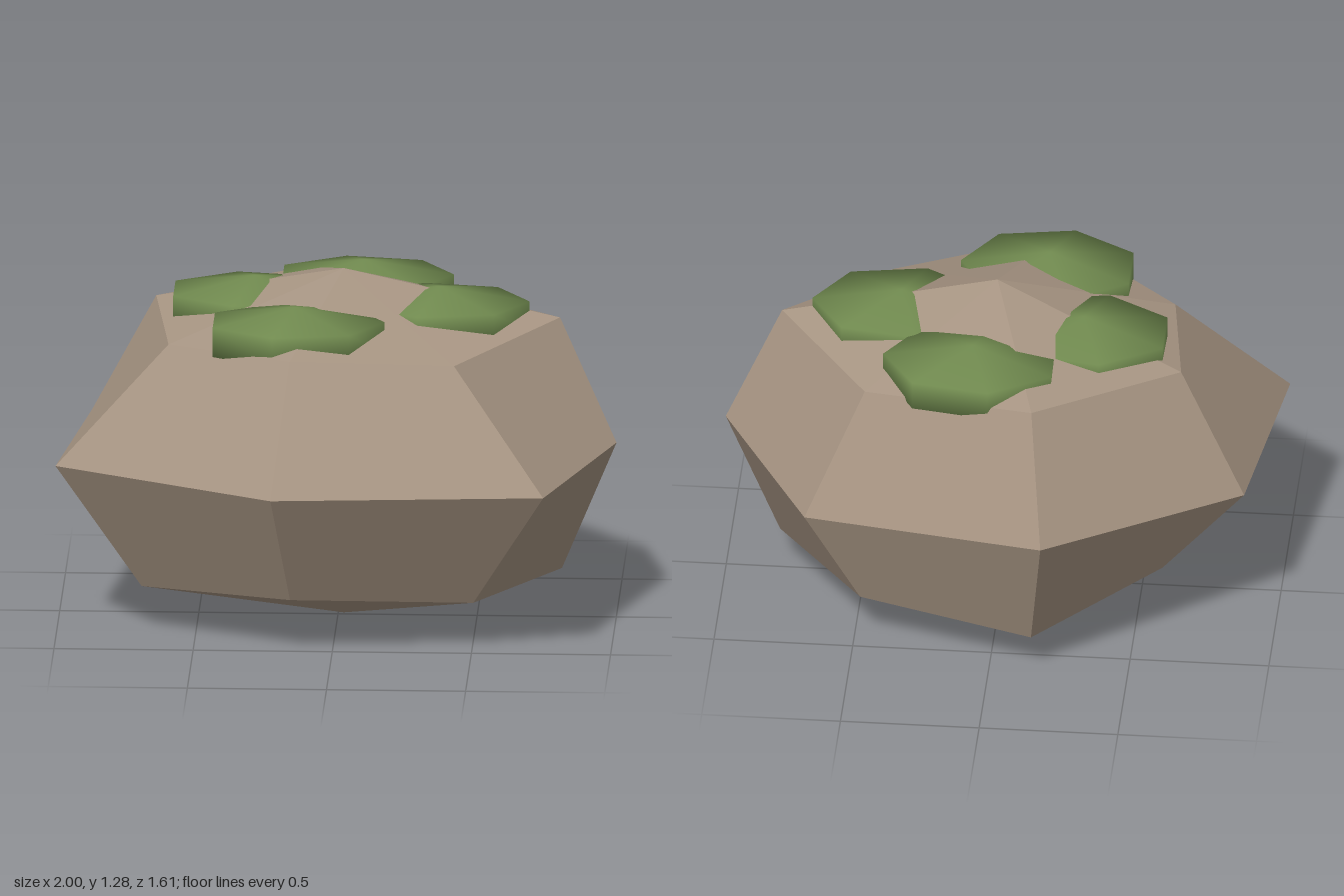
import * as THREE from 'three';

const SIDES = 7;

// Faceted boulder: three uneven seven-sided rings closed by a top and a bottom point
function boulderGeometry() {
  const top = [0.02, 1.285, -0.02], bottom = [0.02, 0, -0.02];
  const upper = [[0.797, 1.11, -0.02], [0.46, 1.065, -0.462], [-0.155, 1.115, -0.627], [-0.665, 1.1, -0.287],
    [-0.6, 1.06, 0.218], [-0.15, 1.1, 0.573], [0.433, 1.04, 0.393]];
  const middle = [[1, -0.02], [0.66, -0.662], [-0.203, -0.806], [-0.9, -0.377],
    [-1, 0.371], [-0.21, 0.804], [0.767, 0.724]].map(([x, z]) => [x, 0.645, z]);
  const lower = [[0.804, 0.175, -0.02], [0.475, 0.2, -0.482], [-0.155, 0.165, -0.642], [-0.595, 0.24, -0.257],
    [-0.695, 0.17, 0.263], [-0.15, 0.205, 0.55], [0.505, 0.178, 0.463]];

  const points = [], normals = [];
  // One flat-shaded facet with three or four corners
  const facet = (...corners) => {
    const [a, b, c, d = a] = corners.map((p) => new THREE.Vector3(...p));
    const n = c.clone().sub(a).cross(d.clone().sub(b)).normalize();
    const triangles = corners.length === 4 ? [a, b, c, a, c, d] : [a, b, c];
    for (const p of triangles) {
      points.push(p.x, p.y, p.z);
      normals.push(n.x, n.y, n.z);
    }
  };
  for (let i = 0; i < SIDES; i++) {
    const j = (i + 1) % SIDES;
    facet(top, upper[i], upper[j]);
    facet(upper[j], upper[i], middle[i], middle[j]);
    facet(middle[j], middle[i], lower[i], lower[j]);
    facet(bottom, lower[j], lower[i]);
  }
  const geometry = new THREE.BufferGeometry();
  geometry.setAttribute('position', new THREE.Float32BufferAttribute(points, 3));
  geometry.setAttribute('normal', new THREE.Float32BufferAttribute(normals, 3));
  return geometry;
}

// Flattened low-poly cushion that keeps the round normals of a sphere
function mossGeometry() {
  const geometry = new THREE.SphereGeometry(1, SIDES, 3);
  geometry.rotateY(Math.PI);
  const p = geometry.attributes.position;
  for (let i = 0; i < p.count; i++) {
    p.setXYZ(i, p.getX(i) * 0.373, p.getY(i) * 0.108, p.getZ(i) * 0.274);
  }
  return geometry;
}

export function createModel() {
  const group = new THREE.Group();
  group.name = 'mossyBoulder';
  const stone = new THREE.MeshStandardMaterial({ color: 0xa69482 });
  stone.name = 'stone';
  const moss = new THREE.MeshStandardMaterial({ color: 0x738d51 });
  moss.name = 'moss';

  const boulder = new THREE.Mesh(boulderGeometry(), stone);
  boulder.name = 'boulder';
  group.add(boulder);

  // Moss cushions around the crown
  const cushion = mossGeometry();
  const spots = { Back: [0.079, -0.364], Left: [0.365, -0.02], Front: [-0.144, 0.275], Right: [-0.303, -0.14] };
  for (const [side, [x, z]] of Object.entries(spots)) {
    const mesh = new THREE.Mesh(cushion, moss);
    mesh.name = `moss${side}`;
    mesh.position.set(x, 1.114, z);
    group.add(mesh);
  }
  return group;
}
